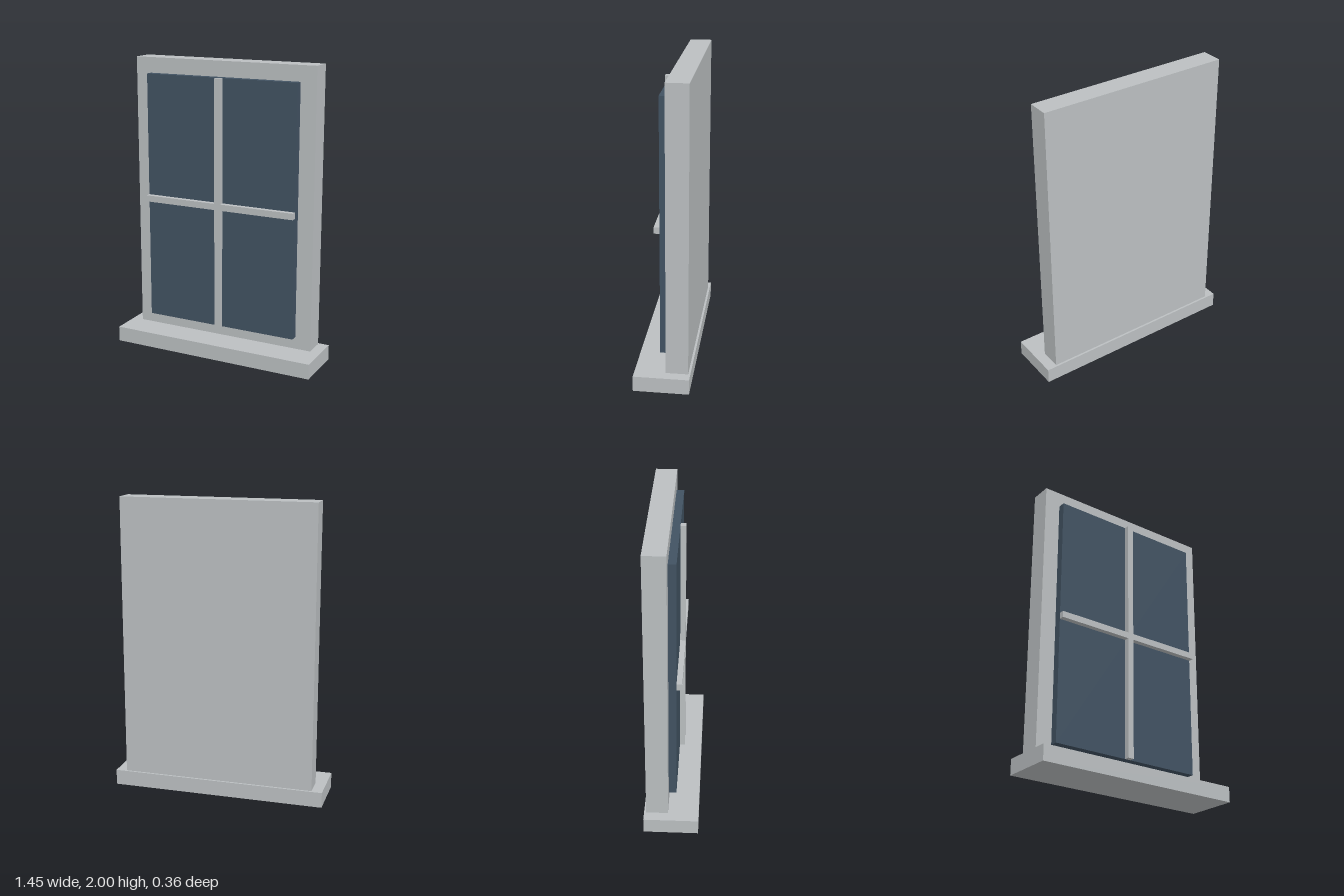
import * as THREE from 'three';

const stone = new THREE.MeshStandardMaterial({ color: 0xbbbfc1 });
stone.name = 'pale grey';
const glass = new THREE.MeshStandardMaterial({ color: 0x415262 });
glass.name = 'dark blue glass';

// Box given by its lower and upper corners
function box(name, material, [x0, y0, z0], [x1, y1, z1]) {
  const mesh = new THREE.Mesh(new THREE.BoxGeometry(x1 - x0, y1 - y0, z1 - z0), material);
  mesh.position.set((x0 + x1) / 2, (y0 + y1) / 2, (z0 + z1) / 2);
  mesh.name = name;
  return mesh;
}

export function createModel() {
  const model = new THREE.Group();
  model.name = 'window';

  // Projecting sill and the solid frame standing on it
  model.add(box('sill', stone, [-0.725, 0, -0.181], [0.725, 0.104, 0.181]));
  model.add(box('frame', stone, [-0.653, 0.104, -0.167], [0.653, 2, -0.022]));

  // Raised glass panel
  model.add(box('glassPane', glass, [-0.544, 0.188, -0.022], [0.544, 1.895, 0.029]));

  // Glazing bars: one full-height upright, with a crossbar butting against each side
  const bars = new THREE.Group();
  bars.name = 'glazingBars';
  bars.add(box('uprightBar', stone, [-0.021, 0.188, 0.029], [0.021, 1.895, 0.065]));
  bars.add(box('leftCrossbar', stone, [0.021, 1.02, 0.029], [0.544, 1.063, 0.065]));
  bars.add(box('rightCrossbar', stone, [-0.544, 1.02, 0.029], [-0.021, 1.063, 0.065]));
  model.add(bars);

  return model;
}
